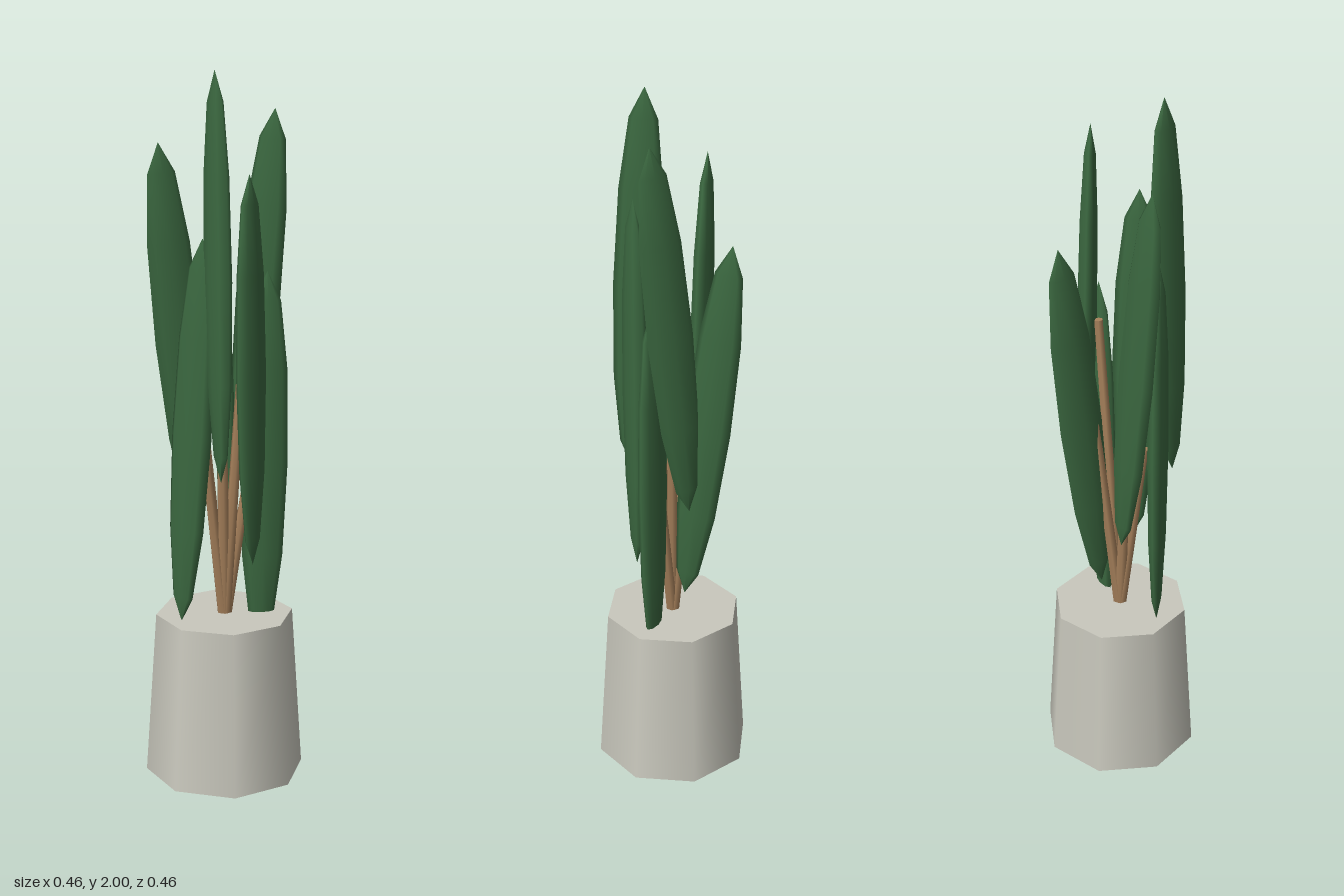
import * as THREE from 'three';

const POT_HEIGHT = 0.475;

// Each leaf: bottom point, tip point and broad direction [x, z]
const LEAVES = [
  { bottom: [-0.03, 0.90, 0.155], tip: [-0.04, 2.0, 0.105], broad: [0.05, 0.15] },
  { bottom: [0.07, 0.64, 0.08], tip: [0.055, 1.73, 0.09], broad: [0.095, -0.115] },
  { bottom: [0.06, 0.85, -0.085], tip: [0.14, 1.9, -0.01], broad: [0.83, 0.55] },
  { bottom: [0.105, 0.37, 0.005], tip: [0.12, 1.46, 0.0], broad: [1, 0] },
  { bottom: [0.02, 0.55, -0.05], tip: [0.005, 1.63, -0.18], broad: [0.1, 1] },
  { bottom: [-0.07, 0.72, -0.035], tip: [-0.18, 1.81, -0.008], broad: [1, -0.2] },
  { bottom: [-0.13, 0.47, 0.05], tip: [-0.07, 1.56, 0.08], broad: [0.1, 0.095] },
];

// Unit leaf: a spindle of radius 1 and height 1, centred on the origin
function leafGeometry() {
  const profile = [[0, 0], [0.067, 0.5], [0.25, 0.86], [0.5, 1], [0.75, 0.9], [0.925, 0.58], [1, 0]];
  return new THREE.LatheGeometry(profile.map(([h, r]) => new THREE.Vector2(r, h - 0.5)), 8);
}

// Straight tapered rod between two points
function rod(from, to, r0, r1, material) {
  const dir = to.clone().sub(from);
  const mesh = new THREE.Mesh(new THREE.CylinderGeometry(r1, r0, dir.length(), 6), material);
  mesh.position.copy(from).addScaledVector(dir, 0.5);
  mesh.quaternion.setFromUnitVectors(new THREE.Vector3(0, 1, 0), dir.normalize());
  return mesh;
}

export function createModel() {
  const model = new THREE.Group();
  model.name = 'pottedPlant';
  const potMaterial = new THREE.MeshStandardMaterial({ color: 0xc9c8bd });
  const leafMaterial = new THREE.MeshStandardMaterial({ color: 0x3b6840 });
  const stemMaterial = new THREE.MeshStandardMaterial({ color: 0xa8825c });

  // Eight-sided pot, narrower at the top
  const pot = new THREE.Mesh(new THREE.CylinderGeometry(0.198, 0.23, POT_HEIGHT, 8), potMaterial);
  pot.position.y = POT_HEIGHT / 2;
  pot.name = 'pot';
  model.add(pot);

  const spindle = leafGeometry();
  LEAVES.forEach(({ bottom, tip, broad }, i) => {
    const a = new THREE.Vector3(...bottom);
    const b = new THREE.Vector3(...tip);
    const centre = a.clone().lerp(b, 0.5);

    // Flattened blade, its broad side turned to the given direction
    const up = b.clone().sub(a);
    const length = up.length();
    up.normalize();
    const side = new THREE.Vector3(broad[0], 0, broad[1]);
    side.addScaledVector(up, -side.dot(up)).normalize();
    const normal = side.clone().cross(up);
    const leaf = new THREE.Mesh(spindle, leafMaterial);
    leaf.quaternion.setFromRotationMatrix(new THREE.Matrix4().makeBasis(side, up, normal));
    leaf.scale.set(0.068, length, 0.027);
    leaf.position.copy(centre);
    leaf.name = `leaf${i + 1}`;
    model.add(leaf);

    // Stem from the middle of the pot to behind the leaf
    const end = new THREE.Vector3(centre.x * 0.65, centre.y, centre.z * 0.65);
    const stem = rod(new THREE.Vector3(0, POT_HEIGHT - 0.03, 0), end, 0.018, 0.013, stemMaterial);
    stem.name = `stem${i + 1}`;
    model.add(stem);
  });

  return model;
}
